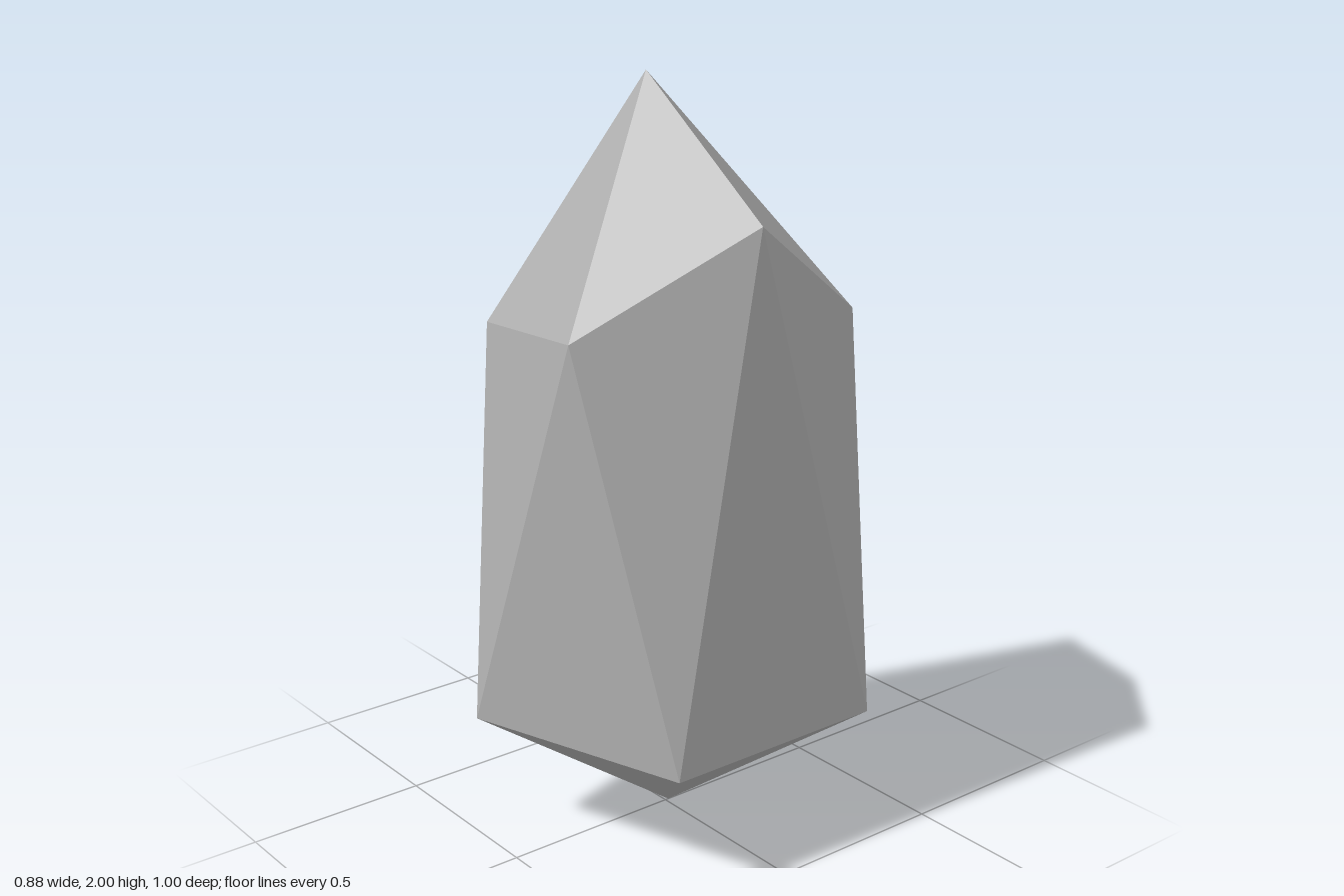
import * as THREE from 'three';

// Five-sided rings, each listed from +x round towards +z
const upperRing = [
  [0.36, 1.68, -0.01], [0.16, 1.42, 0.42], [-0.385, 1.34, 0.29],
  [-0.205, 1.68, -0.32], [0.16, 1.36, -0.505],
];
const lowerRing = [
  [0.44, 0.34, 0.305], [-0.17, 0.34, 0.5], [-0.44, 0.65, -0.01],
  [-0.17, 0.34, -0.43], [0.44, 0.34, -0.335],
];
const tip = [-0.09, 2, -0.01];
const base = [0, 0, -0.01];

function crystalGeometry() {
  const points = [];
  const face = (...corners) => corners.forEach((c) => points.push(...c));
  for (let i = 0; i < 5; i++) {
    const j = (i + 1) % 5;
    face(tip, upperRing[j], upperRing[i]); // crown
    face(upperRing[i], upperRing[j], lowerRing[i]); // sides, pointing down
    face(lowerRing[i], upperRing[j], lowerRing[j]); // sides, pointing up
    face(base, lowerRing[i], lowerRing[j]); // foot
  }
  const geometry = new THREE.BufferGeometry();
  geometry.setAttribute('position', new THREE.Float32BufferAttribute(points, 3));
  geometry.computeVertexNormals(); // unshared corners give flat facets
  return geometry;
}

export function createModel() {
  const stone = new THREE.MeshStandardMaterial({ color: 0xb0b0b0 });
  stone.name = 'grey stone';

  const crystal = new THREE.Mesh(crystalGeometry(), stone);
  crystal.name = 'crystal';

  const model = new THREE.Group();
  model.name = 'crystalShard';
  model.add(crystal);
  return model;
}
